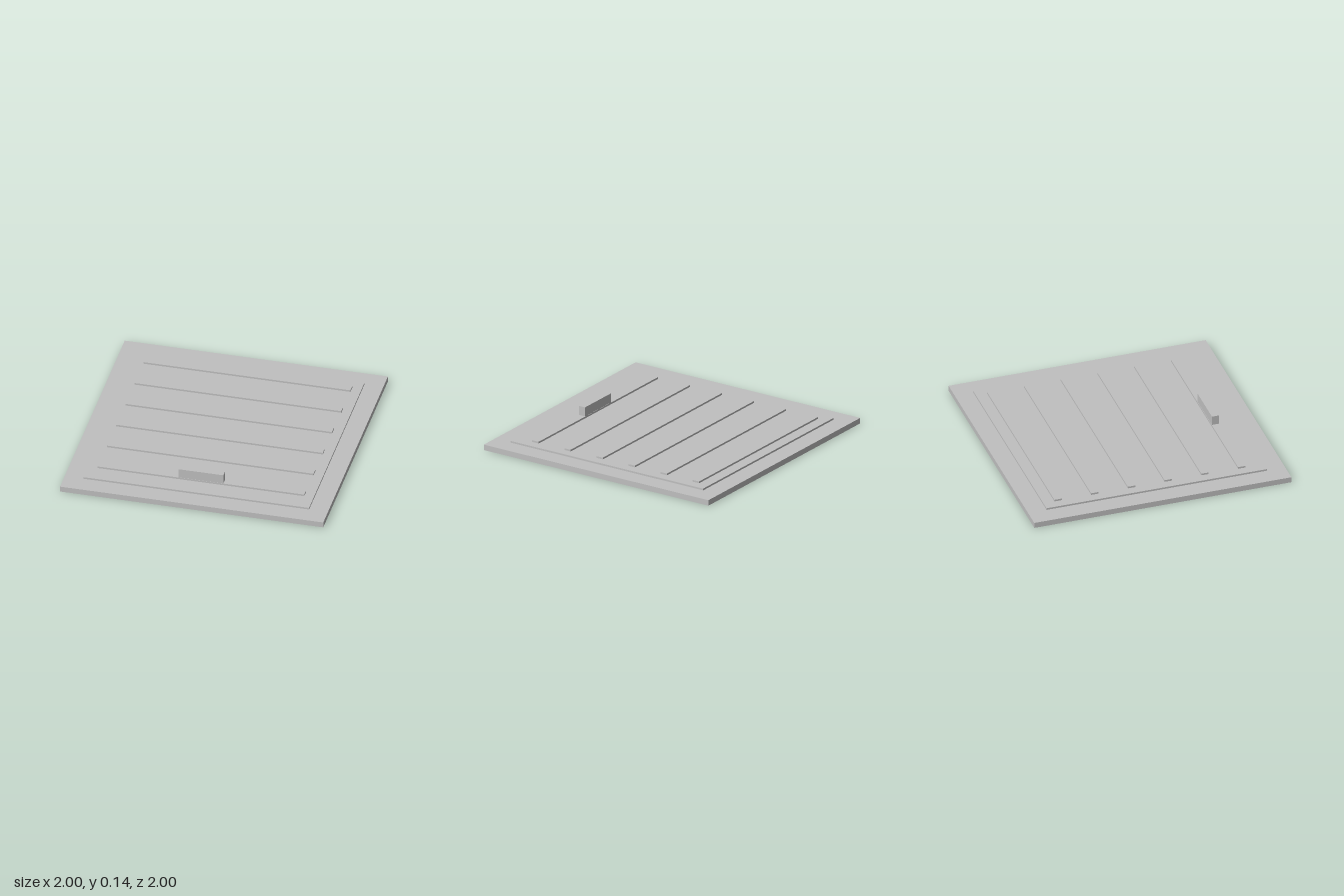
import * as THREE from 'three';

export function createModel() {
  const model = new THREE.Group();
  model.name = 'hatch';
  const grey = new THREE.MeshStandardMaterial({ color: 0xc0c0c0 });
  grey.name = 'light grey';

  // Box given by its size, centre and underside height
  function addBox(name, width, height, depth, x, bottom, z) {
    const mesh = new THREE.Mesh(new THREE.BoxGeometry(width, height, depth), grey);
    mesh.name = name;
    mesh.position.set(x, bottom + height / 2, z);
    model.add(mesh);
  }

  const inner = 0.857; // half width of the panel
  const rail = 1 - inner;
  const railHeight = 0.043;
  const panelTop = 0.057;
  const ribHeight = 0.014;

  // Raised panel inside the frame
  addBox('panel', inner * 2, panelTop, inner * 2, 0, 0, 0);

  // Frame: full-width front and back rails, side rails between them
  for (const side of [1, -1]) {
    const offset = side * (inner + rail / 2);
    addBox(side > 0 ? 'frontRail' : 'backRail', 2, railHeight, rail, 0, 0, offset);
    addBox(side > 0 ? 'leftRail' : 'rightRail', rail, railHeight, inner * 2, offset, 0, 0);
  }

  // Six evenly spaced ribs
  const firstRib = -0.743;
  const spacing = 0.2857;
  for (let i = 0; i < 6; i++) {
    addBox('rib' + (i + 1), 1.571, ribHeight, 0.057, 0, panelTop, firstRib + i * spacing);
  }

  // Handle standing on the front rib
  addBox('handle', 0.34, 0.072, 0.053, 0, panelTop + ribHeight, firstRib + 5 * spacing);

  return model;
}
